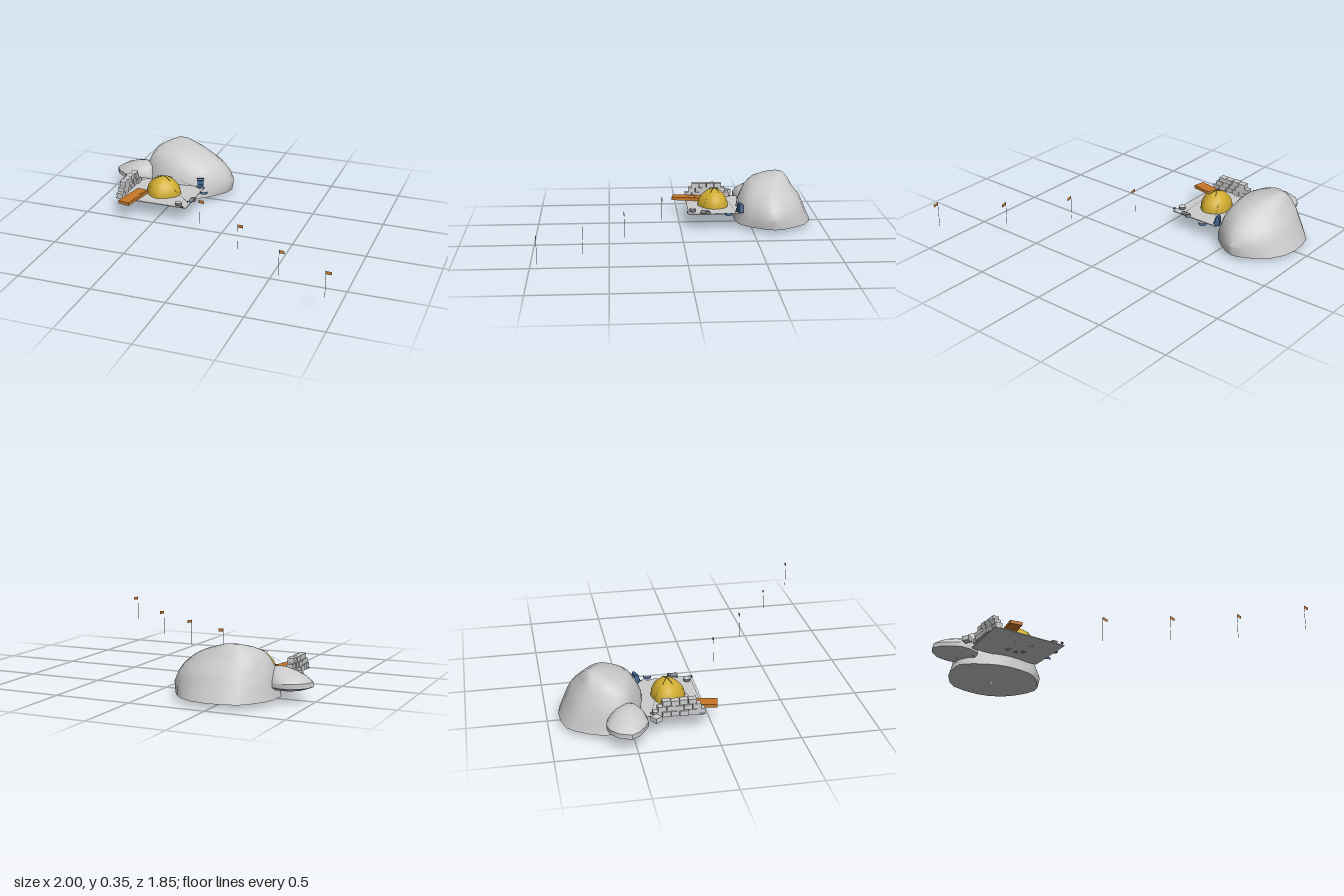
import * as THREE from 'three';
import { toCreasedNormals } from 'three/addons/utils/BufferGeometryUtils.js';

const mat = (color = 0xcccccc, side = THREE.FrontSide) => new THREE.MeshStandardMaterial({ color, side });
const GREY = mat(), YELLOW = mat(0xd0ac30), ORANGE = mat(0xc87828), BLUE = mat(0x486a9a), DARK = mat(0x777b82);
const GROUND = 0.12;

function add(parent, name, geometry, material, x = 0, y = 0, z = 0, ry = 0) {
  const mesh = new THREE.Mesh(geometry, material);
  mesh.name = name;
  mesh.position.set(x, y, z);
  mesh.rotation.y = ry;
  parent.add(mesh);
  return mesh;
}

// Skin over rings that follow one plan outline; each level is [y, xMin, xMax, zMin, zMax], bottom to top
function loft(outline, levels, segments, lump, crease) {
  const box = new THREE.Box2().setFromPoints(outline.map(p => new THREE.Vector2(...p)));
  const centre = box.getCenter(new THREE.Vector2()), size = box.getSize(new THREE.Vector2());
  const curve = new THREE.CatmullRomCurve3(outline.map(([x, z]) =>
    new THREE.Vector3((x - centre.x) / size.x, 0, (z - centre.y) / size.y)), true);
  const pos = [], index = [];
  levels.forEach(([y, x0, x1, z0, z1], i) => {
    for (let j = 0; j < segments; j++) {
      const p = curve.getPoint(j / segments), a = j / segments * Math.PI * 2;
      const k = 1 + lump * Math.sin(a * 5 + i * 1.3) * Math.cos(a * 2 - i);
      pos.push((x0 + x1) / 2 + p.x * (x1 - x0) * k, y, (z0 + z1) / 2 + p.z * (z1 - z0) * k);
      if (i < levels.length - 1) {
        const a0 = i * segments + j, b0 = i * segments + (j + 1) % segments;
        index.push(a0, a0 + segments, b0, b0, a0 + segments, b0 + segments);
      }
    }
  });
  const g = new THREE.BufferGeometry();
  g.setAttribute('position', new THREE.Float32BufferAttribute(pos, 3));
  g.setIndex(index);
  return toCreasedNormals(g, crease);
}

// Straight thin rod between two points
function rod(parent, name, a, b, r, material) {
  return add(parent, name, new THREE.TubeGeometry(new THREE.LineCurve3(a, b), 1, r, 5), material);
}

function addBoulders(root) {
  add(root, 'largeBoulder', loft(
    [[-.14, -.65], [-.21, -.51], [-.32, -.417], [-.505, -.39], [-.69, -.45], [-.79, -.54],
      [-.8, -.64], [-.76, -.78], [-.665, -.89], [-.425, -.925], [-.24, -.83]],
    [[.002, -.51, -.49, -.65, -.63], [.008, -.66, -.32, -.8, -.52], [.03, -.8, -.15, -.925, -.387],
      [.1, -.785, -.14, -.895, -.4], [.16, -.775, -.165, -.87, -.412], [.21, -.76, -.2, -.845, -.43],
      [.26, -.74, -.265, -.805, -.46], [.3, -.71, -.34, -.78, -.5], [.33, -.66, -.43, -.76, -.58],
      [.349, -.61, -.49, -.74, -.66], [.355, -.552, -.548, -.712, -.708]],
    26, .018, .75), GREY);
  add(root, 'smallBoulder', loft(
    [[-.7, -.53], [-.72, -.455], [-.835, -.41], [-.93, -.455], [-1, -.535], [-.93, -.65], [-.825, -.667], [-.73, -.61]],
    [[.072, -.83, -.82, -.54, -.53], [.08, -.95, -.7, -.63, -.44], [.1, -1, -.69, -.667, -.41],
      [.13, -1, -.69, -.667, -.41], [.165, -.95, -.7, -.64, -.43], [.19, -.89, -.71, -.6, -.46],
      [.207, -.83, -.74, -.56, -.5], [.21, -.792, -.788, -.53, -.526]],
    14, .015, .6), GREY);
}

function addTent(root) {
  const tent = new THREE.Group();
  tent.name = 'tent';
  root.add(tent);
  // Dome levels shrink toward the apex at (-.52, -.25)
  const levels = [[0, 1], [.02, .985], [.045, .92], [.07, .79], [.09, .63], [.108, .42], [.119, .2], [.123, .01]]
    .map(([h, s]) => [GROUND + h, -.52 - .125 * s, -.52 + .125 * s, -.25 - .097 * s, -.25 + .118 * s]);
  add(tent, 'tentDome', loft(
    [[-.395, -.24], [-.42, -.19], [-.47, -.15], [-.52, -.13], [-.57, -.145], [-.62, -.19], [-.645, -.25],
      [-.62, -.31], [-.56, -.335], [-.5, -.346], [-.43, -.32]], levels, 28, 0, 1.2), YELLOW);
  add(tent, 'tentFloor', new THREE.CylinderGeometry(.1, .1, .004, 24), DARK, -.52, GROUND - .004, -.24);

  // Two crossing ridge poles
  for (const s of [-1, 1]) {
    const pts = [-1, -.5, 0, .5, 1].map(t =>
      new THREE.Vector3(-.52 + t * .06, GROUND + .1245 - .017 * t * t, -.25 + s * t * .03));
    add(tent, 'ridgePole', new THREE.TubeGeometry(new THREE.CatmullRomCurve3(pts), 12, .0015, 5), DARK);
  }
  // Guy lines and pegs at the corners
  for (const [x, z] of [[-.75, -.385], [-.3, -.385], [-.3, -.14], [-.67, -.09]]) {
    const foot = new THREE.Vector3(x, GROUND + .004, z);
    const start = new THREE.Vector3(-.52 + (x + .52) * .4, GROUND + .07, -.25 + (z + .25) * .55);
    rod(tent, 'guyLine', start, foot, .0008, GREY);
    add(tent, 'peg', new THREE.CylinderGeometry(.003, .002, .016, 6), DARK, x, GROUND + .006, z);
  }
}

function addWall(root) {
  const wall = new THREE.Group();
  wall.name = 'blockWall';
  root.add(wall);
  // Three stacked courses, the upper ones shorter and offset
  for (let row = 0; row < 3; row++) {
    const count = 6 - row;
    for (let i = 0; i < count; i++) {
      const z = -.08 - row * .026 - i * .054;
      const bow = ((z + .22) / .16) ** 2 * .014;
      add(wall, 'wallBlock', new THREE.BoxGeometry(.044, .032, .051), GREY,
        -.782 + bow + (i % 2) * .004 + row * .004, GROUND + .016 + row * .034, z, .06 * Math.sin(i * 2 + row) - (z + .22) * .6);
    }
  }
  add(wall, 'looseBlock', new THREE.BoxGeometry(.05, .032, .05), GREY, -.84, GROUND + .016, -.365, .6);
}

function addGear(root) {
  const gear = new THREE.Group();
  gear.name = 'campGear';
  root.add(gear);

  const pack = new THREE.Group();
  pack.name = 'backpack';
  pack.position.set(-.307, GROUND, -.415);
  pack.rotation.y = .35;
  gear.add(pack);
  add(pack, 'packBody', new THREE.BoxGeometry(.044, .055, .03), BLUE, 0, .028, 0);
  add(pack, 'packPocket', new THREE.BoxGeometry(.032, .022, .01), BLUE, 0, .018, .019);
  add(pack, 'packRoll', new THREE.CylinderGeometry(.009, .009, .048, 12), BLUE, 0, .06, 0).rotation.z = Math.PI / 2;

  add(gear, 'openDrum', new THREE.CylinderGeometry(.027, .027, .018, 20, 1, true), mat(0x486a9a), -.25, GROUND + .008, -.33);

  // Cooking pot, stove and cup
  add(gear, 'pot', new THREE.CylinderGeometry(.024, .021, .02, 16), DARK, -.345, GROUND + .01, -.085);
  add(gear, 'potLid', new THREE.CylinderGeometry(.015, .024, .004, 16), GREY, -.345, GROUND + .022, -.085);
  const bottle = add(gear, 'fuelBottle', new THREE.CapsuleGeometry(.014, .035, 4, 12), DARK, -.277, GROUND + .014, -.165, .3);
  bottle.rotation.x = Math.PI / 2;
  add(gear, 'stove', new THREE.CylinderGeometry(.018, .02, .02, 12), DARK, -.275, GROUND + .01, -.185);
  for (const x of [-.31, -.3]) add(gear, 'cup', new THREE.CylinderGeometry(.005, .004, .012, 10), DARK, x, GROUND + .006, -.047);
}

function addFlags(root) {
  const cloth = mat(0xc87828, THREE.DoubleSide);
  for (const [x, base, z] of [[-.107, .12, .14], [.252, .12, .4], [.606, .127, .66], [.964, .182, .92]]) {
    const flag = new THREE.Group();
    flag.name = 'routeFlag';
    flag.position.set(x, base, z);
    root.add(flag);
    add(flag, 'flagPole', new THREE.CylinderGeometry(.0014, .0014, .174, 6), GREY, 0, .087, 0);
    // Rippled, slightly drooping cloth
    const g = new THREE.PlaneGeometry(.035, .02, 8, 1).translate(.0175, 0, 0);
    const p = g.attributes.position;
    for (let i = 0; i < p.count; i++) {
      p.setY(i, p.getY(i) - p.getX(i) * .12);
      p.setZ(i, Math.sin(p.getX(i) * 180) * .002);
    }
    g.computeVertexNormals();
    add(flag, 'flagCloth', g, cloth, 0, .163, 0);
  }
}

export function createModel() {
  const root = new THREE.Group();
  root.name = 'campsite';
  addBoulders(root);

  // Flat camp ground
  const plan = new THREE.Shape([[-.77, .435], [-.28, .42], [-.28, .055], [-.8, .055]].map(p => new THREE.Vector2(...p)));
  add(root, 'campGround', new THREE.ExtrudeGeometry(plan, { depth: .006, bevelEnabled: false })
    .rotateX(-Math.PI / 2), GREY, 0, GROUND - .006, 0);

  addTent(root);
  addWall(root);
  // Sled board lying beside the tent
  add(root, 'sledBoard', new THREE.BoxGeometry(.082, .022, .243), ORANGE, -.68, GROUND + .012, -.08, -.18);
  addGear(root);
  addFlags(root);
  return root;
}
